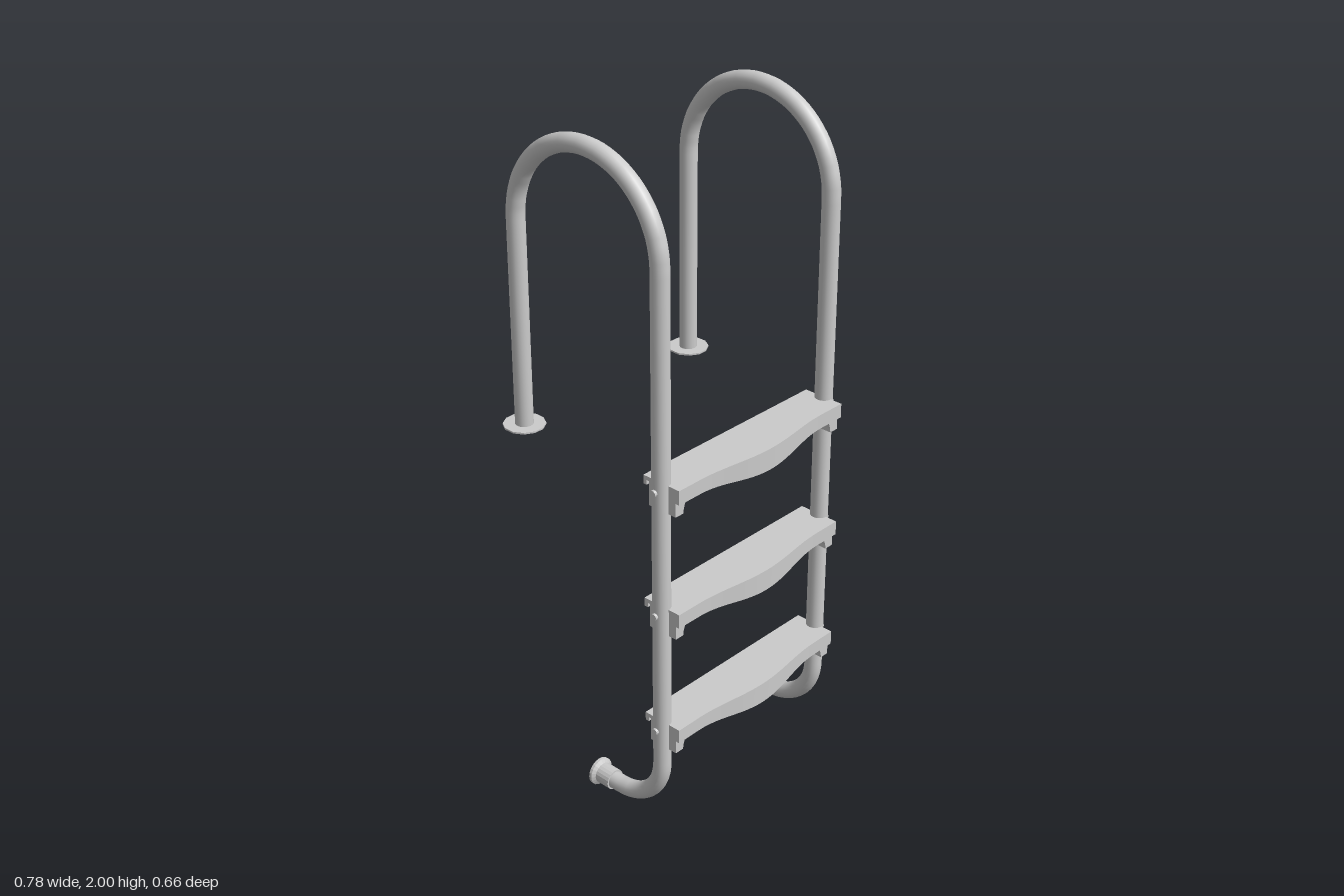
import * as THREE from 'three';

const V = (y, z) => new THREE.Vector3(0, y, z);
const RAIL_X = 0.332, RAIL_R = 0.026, FRONT_Z = 0.244, BACK_Z = -0.274, FOOT_Y = 0.043;
const mat = new THREE.MeshStandardMaterial({ color: 0xcccccc, side: THREE.DoubleSide });
const flat = new THREE.MeshStandardMaterial({ color: 0xcccccc, side: THREE.DoubleSide, flatShading: true });

function add(parent, name, geometry, x = 0, y = 0, z = 0, material = flat) {
  const mesh = new THREE.Mesh(geometry, material);
  mesh.name = name;
  mesh.position.set(x, y, z);
  parent.add(mesh);
  return mesh;
}

// Arc in the side plane, angle measured from +z towards +y
function arcPoints(cy, cz, r, from, to, n) {
  return Array.from({ length: n + 1 }, (_, i) => {
    const a = from + (to - from) * i / n;
    return V(cy + r * Math.sin(a), cz + r * Math.cos(a));
  });
}

// Bent handrail: foot, lower bend, upright, top arch, rear leg
function railGeometry() {
  const bend = 0.165, r = (FRONT_Z - BACK_Z) / 2, cy = 2 - RAIL_R - r;
  const points = [
    V(FOOT_Y, 0.02),
    ...arcPoints(FOOT_Y + bend, FRONT_Z - bend, bend, -Math.PI / 2, 0, 12),
    ...arcPoints(cy, (FRONT_Z + BACK_Z) / 2, r, 0, Math.PI, 28),
    V(1.1, BACK_Z),
  ];
  const path = new THREE.CurvePath();
  for (let i = 1; i < points.length; i++) path.add(new THREE.LineCurve3(points[i - 1], points[i]));
  return new THREE.TubeGeometry(path, 160, RAIL_R, 20);
}

// Flat floor plate with a hole for the rail
function floorPlateGeometry() {
  const shape = new THREE.Shape();
  for (let i = 0; i < 12; i++) {
    const a = (i + 0.5) * Math.PI / 6;
    shape[i ? 'lineTo' : 'moveTo'](0.06 * Math.cos(a), 0.06 * Math.sin(a));
  }
  shape.holes.push(new THREE.Path().absarc(0, 0, 0.024, 0, Math.PI * 2, true));
  return new THREE.ExtrudeGeometry(shape, { depth: 0.005, bevelEnabled: false, curveSegments: 12 })
    .rotateX(-Math.PI / 2);
}

// Hollow rubber bumper on the foot, flared towards the wall
function bumperGeometry() {
  const profile = [[0.025, -0.053], [0.031, -0.053], [0.031, -0.004], [0.042, 0.003],
    [0.042, 0.012], [0.035, 0.012], [0.024, -0.015], [0, -0.015]];
  return new THREE.LatheGeometry(profile.map(p => new THREE.Vector2(...p)), 20).rotateX(-Math.PI / 2);
}

// Swell of the tread towards its middle, 0 to 1
const swell = x => Math.abs(x) < 0.25 ? (1 + Math.cos(Math.PI * x / 0.25)) / 2 : 0;
const frontZ = x => 0.308 + 0.024 * swell(x);

// Tread top with the curved front edge
function treadTopGeometry() {
  const shape = new THREE.Shape();
  shape.moveTo(-RAIL_X, -0.18);
  for (let i = 0; i <= 32; i++) {
    const x = RAIL_X * (i / 16 - 1);
    shape.lineTo(x, -frontZ(x));
  }
  shape.lineTo(RAIL_X, -0.18);
  return new THREE.ExtrudeGeometry(shape, { depth: 0.012, bevelEnabled: false })
    .rotateX(-Math.PI / 2).translate(0, -0.012, 0);
}

// Front apron: bulges forward and hangs lower in the middle
function apronGeometry() {
  const g = new THREE.BoxGeometry(RAIL_X * 2, 1, 0.012, 32, 1, 1);
  const p = g.attributes.position;
  for (let i = 0; i < p.count; i++) {
    const x = p.getX(i);
    p.setY(i, p.getY(i) > 0 ? 0 : -0.043 - 0.022 * swell(x));
    p.setZ(i, p.getZ(i) + frontZ(x) - 0.006);
  }
  g.computeVertexNormals();
  return g;
}

// End bracket with a hollowed inner side, drawn for the +x end
function bracketGeometry() {
  const s = new THREE.Shape();
  s.moveTo(RAIL_X, 0);
  s.lineTo(0.268, 0);
  s.lineTo(0.268, -0.03);
  s.quadraticCurveTo(0.3, -0.038, 0.303, -0.08);
  s.lineTo(RAIL_X, -0.08);
  s.closePath();
  return new THREE.ExtrudeGeometry(s, { depth: 0.096, bevelEnabled: false, curveSegments: 6 })
    .translate(0, -0.004, 0.2);
}

function makeTread(y) {
  const tread = new THREE.Group();
  tread.name = 'tread';
  tread.position.y = y;
  add(tread, 'treadTop', treadTopGeometry());
  add(tread, 'frontApron', apronGeometry());
  add(tread, 'backLip', new THREE.BoxGeometry(RAIL_X * 2, 0.026, 0.012), 0, -0.013, 0.186);
  const bracket = bracketGeometry();
  const bolt = new THREE.CylinderGeometry(0.01, 0.01, 0.016, 10).rotateZ(Math.PI / 2);
  for (const side of [1, -1]) {
    // Rotating about y mirrors the symmetric bracket profile to the other end
    const b = add(tread, 'treadBracket', bracket);
    if (side < 0) {
      b.rotation.y = Math.PI;
      b.position.z = 0.496;
    }
    add(tread, 'bolt', bolt, side * 0.357, -0.02, FRONT_Z);
  }
  return tread;
}

export function createModel() {
  const model = new THREE.Group();
  model.name = 'poolLadder';
  const rail = railGeometry(), plate = floorPlateGeometry(), bumper = bumperGeometry();
  for (const side of [1, -1]) {
    const group = new THREE.Group();
    group.name = side > 0 ? 'leftRail' : 'rightRail';
    group.position.x = side * RAIL_X;
    add(group, 'handrail', rail, 0, 0, 0, mat);
    add(group, 'floorPlate', plate, 0, 1.098, BACK_Z);
    add(group, 'wallBumper', bumper, 0, FOOT_Y, 0, flat);
    model.add(group);
  }
  for (const y of [0.35, 0.732, 1.115]) model.add(makeTread(y));
  return model;
}
